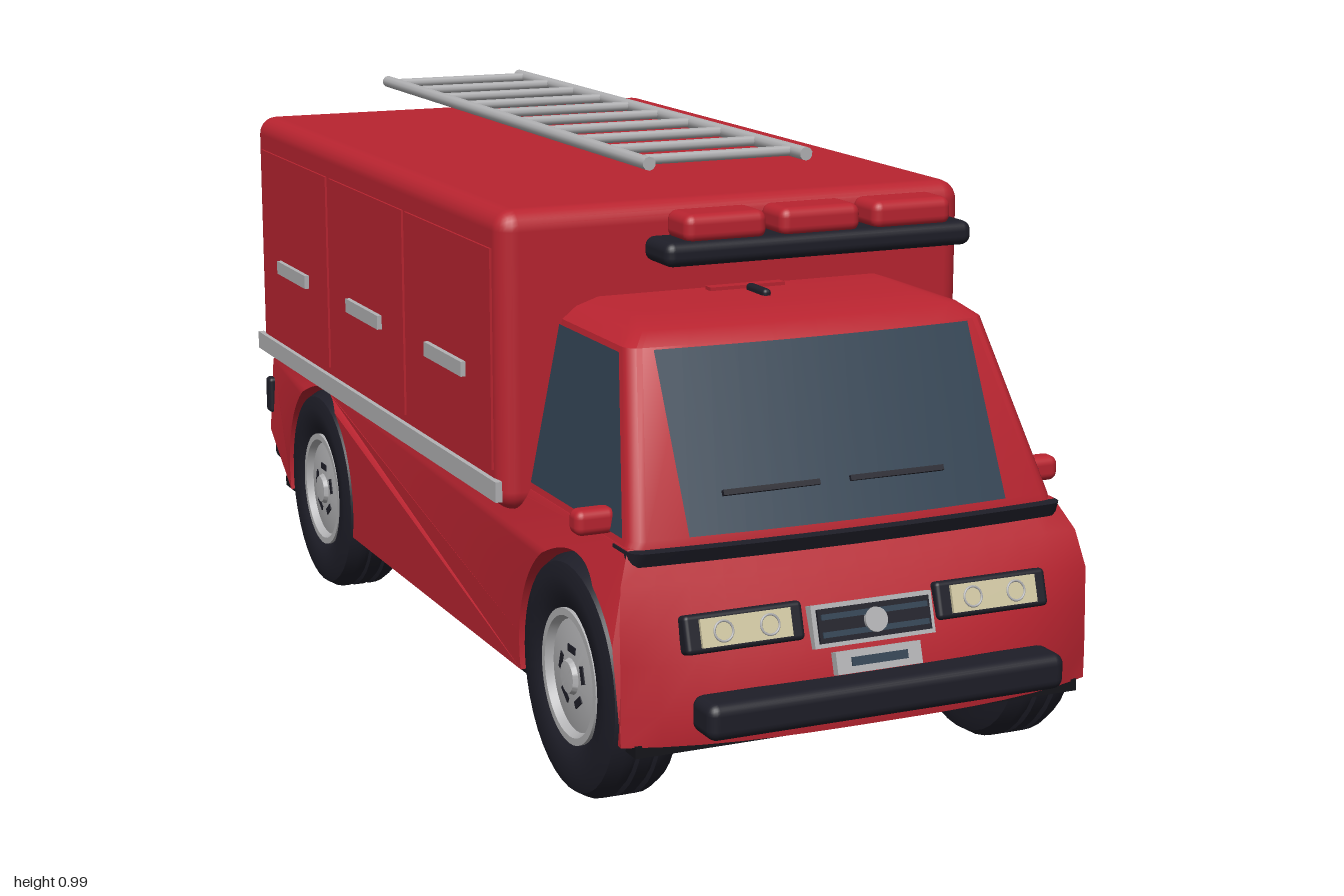
import * as THREE from 'three';
import { toCreasedNormals } from 'three/addons/utils/BufferGeometryUtils.js';
import { RoundedBoxGeometry } from 'three/addons/geometries/RoundedBoxGeometry.js';

const mat = (name, color, side = THREE.FrontSide) => {
  const m = new THREE.MeshStandardMaterial({ color, side });
  m.name = name;
  return m;
};

export function createModel() {
  const red = mat('fire red', 0xb92430);
  const black = mat('black trim', 0x1e1e28);
  const under = mat('underbody black', 0x15151a);
  const glass = mat('dark glass', 0x314252, THREE.DoubleSide);
  const silver = mat('silver', 0xb2b2b4);
  const cream = mat('headlight cream', 0xd2c9a4);

  const truck = new THREE.Group();
  truck.name = 'fireTruck';
  const add = (name, geo, material, x = 0, y = 0, z = 0, parent = truck) => {
    const m = new THREE.Mesh(geo, material);
    m.name = name;
    m.position.set(x, y, z);
    parent.add(m);
    return m;
  };
  const box = (w, h, d) => new THREE.BoxGeometry(w, h, d);
  const rbox = (w, h, d, r) => new RoundedBoxGeometry(w, h, d, 3, r);
  const disc = (r, d, axis) => {
    const g = new THREE.CylinderGeometry(r, r, d, 16);
    return axis === 'x' ? g.rotateZ(-Math.PI / 2) : g.rotateX(Math.PI / 2);
  };

  // Horizontal outline with rounded front corners and a gently bowed front
  const ring = (y, w, zf, zb, r = 0.025, bow = 0.015) => {
    const pts = [[w, y, zb]];
    const right = [];
    for (let k = 0; k <= 4; k++) {
      const a = (k / 4) * Math.PI / 2;
      right.push([w - r + r * Math.cos(a), y, zf - bow - r + r * Math.sin(a)]);
    }
    pts.push(...right);
    for (let k = 1; k < 8; k++) {
      const t = 1 - k / 4;
      pts.push([t * (w - r), y, zf - bow * t * t]);
    }
    pts.push(...right.reverse().map(([x, yy, z]) => [-x, yy, z]), [-w, y, zb]);
    return pts;
  };
  const loft = (rings) => {
    const n = rings[0].length, idx = [], last = (rings.length - 1) * n;
    for (let j = 0; j < rings.length - 1; j++) {
      for (let i = 0; i < n; i++) {
        const a = j * n + i, b = j * n + (i + 1) % n;
        idx.push(a, a + n, b, b, a + n, b + n);
      }
    }
    for (let i = 1; i < n - 1; i++) idx.push(0, i, i + 1, last, last + i + 1, last + i);
    const g = new THREE.BufferGeometry();
    g.setAttribute('position', new THREE.Float32BufferAttribute(rings.flat(2), 3));
    g.setIndex(idx);
    return toCreasedNormals(g.toNonIndexed(), 0.6);
  };
  // Curved sheet from a rule over u, v in 0..1
  const sheet = (f, nu = 1) => {
    const g = new THREE.PlaneGeometry(1, 1, nu, 1), p = g.attributes.position;
    for (let i = 0; i < p.count; i++) p.setXYZ(i, ...f(p.getX(i) + 0.5, p.getY(i) + 0.5));
    g.computeVertexNormals();
    return g;
  };

  // Lower body: side outline with wheel arches, extruded across the width
  const wheelZ = [-0.61, 0.68];
  const s = new THREE.Shape();
  s.moveTo(-0.93, 0.15);
  wheelZ.forEach((z) => s.absarc(z, 0.2, 0.208, Math.PI + 0.24, -0.24, true));
  [[0.95, 0.15], [0.955, 0.2], [0.93, 0.28], [0.905, 0.34], [0.87, 0.4], [0.84, 0.45],
    [-0.93, 0.45], [-0.95, 0.4], [-0.95, 0.25]].forEach(([z, y]) => s.lineTo(z, y));
  const body = new THREE.ExtrudeGeometry(s, { depth: 0.84, steps: 14, bevelEnabled: false, curveSegments: 24 });
  body.translate(0, 0, -0.42).rotateY(-Math.PI / 2);
  const bp = body.attributes.position;
  for (let i = 0; i < bp.count; i++) {
    const x = bp.getX(i), y = bp.getY(i), z = bp.getZ(i);
    const t = Math.abs(x) / 0.42;
    if (z > 0.888) bp.setZ(i, 0.888 + (z - 0.888) * (1 - 0.9 * t ** 3));
    if (y > 0.38) bp.setX(i, x * (1 - (y - 0.38) * 1.2));
  }
  add('lowerBody', toCreasedNormals(body, 0.5), red);
  add('underbody', box(0.8, 0.02, 1.82), under, 0, 0.143, -0.005);
  add('chassis', box(0.58, 0.26, 1.67), under, 0, 0.27, 0.005);

  // Cab with windows
  const frontZ = (y) => 0.86 - (y - 0.46) * 0.5;
  const sideX = (y) => 0.38 - (y - 0.46) * 0.2;
  add('cab', loft([ring(0.43, 0.39, 0.862, 0.42), ring(0.46, 0.38, 0.86, 0.42),
    ring(0.735, 0.325, 0.7225, 0.42), ring(0.755, 0.3, 0.69, 0.42), ring(0.768, 0.26, 0.6, 0.42)]), red);
  add('windscreen', sheet((u, v) => {
    const x = (u - 0.5) * 0.57, y = 0.462 + 0.271 * v;
    return [x, y, frontZ(y) + 0.005 - 0.015 * (x / 0.33) ** 2];
  }, 12), glass);
  for (const side of [-1, 1]) {
    add('sideWindow', sheet((u, v) => {
      const y = 0.462 + 0.265 * v;
      return [side * (sideX(y) + 0.004), y, 0.44 + (frontZ(y) - 0.042 - 0.44) * u];
    }), glass);
    add('mirror', rbox(0.07, 0.042, 0.04, 0.014), red, side * 0.405, 0.477, 0.75);
  }
  add('windscreenLip', loft([ring(0.424, 0.39, 0.872, 0.79), ring(0.448, 0.388, 0.884, 0.79)]), black);
  for (const x of [-0.135, 0.09]) {
    const w = add('wiper', box(0.17, 0.009, 0.008), black, x, 0.522, frontZ(0.522) + 0.007);
    w.rotation.x = -0.46;
  }
  add('roofAerial', rbox(0.016, 0.018, 0.07, 0.007), black, 0, 0.77, 0.515);
  add('roofVent', box(0.14, 0.012, 0.02), red, 0, 0.768, 0.465);

  // Equipment box with side shutters, handles and trim strip
  add('equipmentBox', rbox(0.872, 0.51, 1.38, 0.035), red, 0, 0.665, -0.25);
  for (const side of [-1, 1]) {
    add('sideStrip', box(0.012, 0.035, 1.37), silver, side * 0.439, 0.449, -0.25);
    for (const z of [0.195, -0.24, -0.68]) {
      add('shutter', box(0.01, 0.375, 0.42), red, side * 0.435, 0.668, z);
      add('shutterHandle', box(0.014, 0.026, 0.185), silver, side * 0.442, 0.63, z);
    }
  }

  // Roof ladder
  const ladder = new THREE.Group();
  ladder.name = 'ladder';
  truck.add(ladder);
  for (const x of [-0.148, 0.148]) {
    add('ladderRail', new THREE.CylinderGeometry(0.012, 0.012, 1.33, 10).rotateX(Math.PI / 2), silver, x, 0.978, -0.267, ladder);
  }
  for (let i = 0; i < 10; i++) {
    add('ladderRung', new THREE.CylinderGeometry(0.009, 0.009, 0.296, 8).rotateZ(Math.PI / 2), silver, 0, 0.978, -0.892 + i * 0.138, ladder);
  }

  // Beacon bar
  add('beaconBar', rbox(0.55, 0.04, 0.095, 0.016), black, 0, 0.885, 0.698);
  for (const x of [-0.167, 0, 0.167]) add('beacon', rbox(0.144, 0.046, 0.082, 0.016), red, x, 0.923, 0.698);

  // Front face, leaning back with the nose
  const tilted = (name, z, y) => {
    const g = new THREE.Group();
    g.name = name;
    g.position.set(0, y, z);
    g.rotation.x = -0.3;
    truck.add(g);
    return g;
  };
  const lamps = tilted('headlights', 0.921, 0.327);
  for (const side of [-1, 1]) {
    add('headlightHousing', rbox(0.205, 0.062, 0.05, 0.008), black, side * 0.222, 0, -0.022, lamps);
    add('headlightLens', box(0.156, 0.045, 0.008), cream, side * 0.222, 0, 0.005, lamps);
    for (const dx of [-0.04, 0.04]) {
      add('headlightBulb', new THREE.TorusGeometry(0.016, 0.002, 6, 20), silver, side * 0.222 + dx, 0, 0.009, lamps);
    }
  }
  const grille = tilted('grille', 0.931, 0.315);
  add('grilleFrame', box(0.216, 0.068, 0.04), silver, 0, 0, -0.02, grille);
  add('grilleInset', box(0.2, 0.054, 0.006), black, 0, 0, 0.002, grille);
  for (const y of [-0.014, 0.014]) add('grilleSlat', box(0.19, 0.009, 0.006), glass, 0, y, 0.005, grille);
  add('grilleDisc', disc(0.02, 0.008, 'z'), silver, 0, 0, 0.007, grille);
  const plate = tilted('frontPlate', 0.949, 0.257);
  add('plateFrame', box(0.152, 0.036, 0.02), silver, 0, 0, -0.006, plate);
  add('platePanel', box(0.1, 0.014, 0.004), glass, 0, 0, 0.005, plate);

  // Bumpers
  add('frontBumper', rbox(0.636, 0.06, 0.075, 0.018), black, 0, 0.205, 0.9625);
  add('rearBumper', rbox(0.8, 0.06, 0.06, 0.018), black, 0, 0.205, -0.97);

  // Rear lights, plate and exhaust
  for (const side of [-1, 1]) {
    add('tailLightHousing', rbox(0.145, 0.075, 0.03, 0.008), black, side * 0.352, 0.325, -0.95);
    add('tailLightLens', box(0.12, 0.05, 0.006), red, side * 0.352, 0.325, -0.966);
    add('reverseLight', box(0.03, 0.022, 0.006), silver, side * 0.318, 0.325, -0.968);
  }
  add('rearPlate', box(0.13, 0.036, 0.016), silver, 0, 0.275, -0.953);
  add('rearPlatePanel', box(0.09, 0.014, 0.004), glass, 0, 0.275, -0.962);
  add('exhaust', disc(0.014, 0.1, 'z'), silver, -0.28, 0.143, -0.93);

  // Wheels
  const lathe = (pts) => new THREE.LatheGeometry(pts.map(([r, y]) => new THREE.Vector2(r, y)), 40).rotateZ(-Math.PI / 2);
  const tyre = toCreasedNormals(lathe([[0, -0.058], [0.165, -0.062], [0.188, -0.055], [0.199, -0.036], [0.2, -0.022],
    [0.193, -0.019], [0.193, -0.013], [0.2, -0.01], [0.2, 0.01], [0.193, 0.013], [0.193, 0.019], [0.2, 0.022],
    [0.199, 0.036], [0.188, 0.055], [0.165, 0.062], [0.125, 0.058], [0.108, 0.045]]).toNonIndexed(), 0.6);
  const rim = toCreasedNormals(lathe([[0.112, 0.04], [0.112, 0.055], [0.1, 0.055], [0.093, 0.042], [0.07, 0.046],
    [0.03, 0.05], [0.026, 0.058], [0, 0.058]]).toNonIndexed(), 0.5);
  for (const side of [-1, 1]) {
    for (const z of wheelZ) {
      const wheel = new THREE.Group();
      wheel.name = 'wheel';
      wheel.position.set(side * 0.363, 0.2, z);
      if (side < 0) wheel.rotation.y = Math.PI;
      truck.add(wheel);
      add('tyre', tyre, black, 0, 0, 0, wheel);
      add('rim', rim, silver, 0, 0, 0, wheel);
      for (let i = 0; i < 5; i++) {
        const a = Math.PI / 2 + i * Math.PI * 0.4;
        const slot = add('rimSlot', box(0.008, 0.012, 0.03), black, 0.046, Math.sin(a) * 0.045, Math.cos(a) * 0.045, wheel);
        slot.rotation.x = Math.PI / 2 - a;
      }
    }
  }
  return truck;
}
